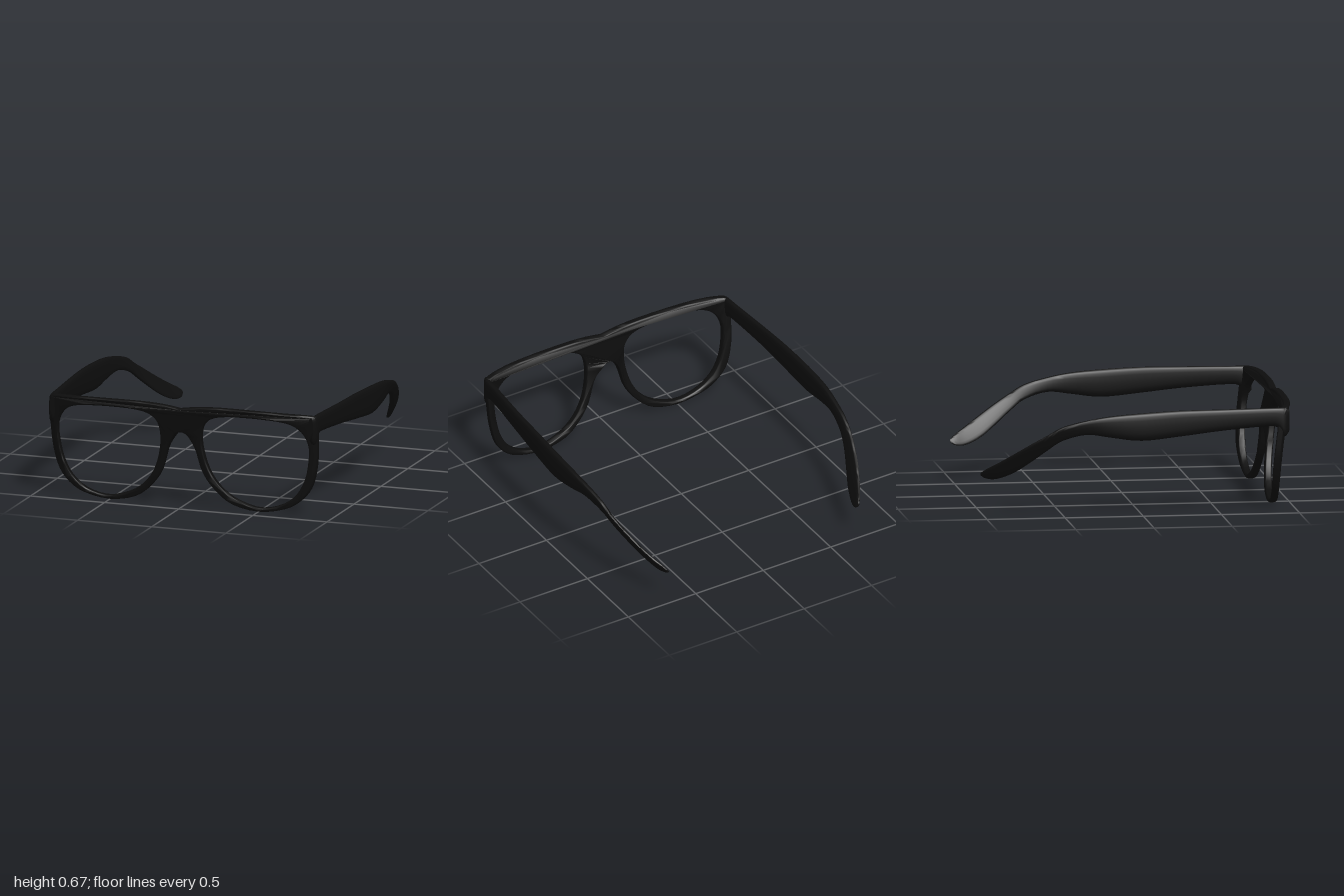
import * as THREE from 'three';
import { mergeVertices, toCreasedNormals } from 'three/addons/utils/BufferGeometryUtils.js';

const black = new THREE.MeshStandardMaterial({ color: 0x0d0d0d });
const v2 = (pts) => pts.map(([x, y]) => new THREE.Vector2(x, y));

// Half of the outer contour: nose arch, round the rim, up to the brow notch
const OUTLINE = [
  [0, 0.495], [0.025, 0.488], [0.05, 0.464], [0.093, 0.387], [0.134, 0.242], [0.21, 0.13],
  [0.325, 0.04], [0.505, 0.005], [0.686, 0.038], [0.79, 0.103], [0.856, 0.196], [0.89, 0.335],
  [0.9, 0.48], [0.903, 0.6], [0.895, 0.655], [0.85, 0.668], [0.66, 0.676], [0.3, 0.68],
  [0.12, 0.672], [0, 0.655],
];

// Lens opening
const OPENING = [
  [0.5, 0.63], [0.33, 0.627], [0.22, 0.607], [0.16, 0.56], [0.14, 0.485], [0.145, 0.387],
  [0.18, 0.26], [0.247, 0.155], [0.35, 0.077], [0.505, 0.031], [0.65, 0.06], [0.753, 0.134],
  [0.814, 0.242], [0.84, 0.36], [0.845, 0.464], [0.814, 0.545], [0.753, 0.598], [0.66, 0.621],
];

// Temple sections from hinge to tip: z, top, bottom, centre x, thickness, lean
const TEMPLE = [
  [0.95, 0.655, 0.51, 0.872, 0.03, 0], [0.92, 0.664, 0.48, 0.882, 0.042, 0],
  [0.88, 0.665, 0.535, 0.886, 0.042, 0], [0.8, 0.665, 0.548, 0.89, 0.042, 0],
  [0.5, 0.665, 0.527, 0.912, 0.042, 0], [0.25, 0.665, 0.5, 0.924, 0.045, 0],
  [0, 0.654, 0.478, 0.931, 0.05, 0], [-0.2, 0.638, 0.502, 0.928, 0.046, 0.02],
  [-0.35, 0.612, 0.52, 0.914, 0.04, 0.1], [-0.5, 0.572, 0.48, 0.892, 0.034, 0.25],
  [-0.6, 0.516, 0.41, 0.869, 0.03, 0.38], [-0.7, 0.457, 0.33, 0.831, 0.029, 0.45],
  [-0.8, 0.393, 0.26, 0.788, 0.029, 0.5], [-0.9, 0.328, 0.22, 0.745, 0.028, 0.5],
  [-0.965, 0.288, 0.222, 0.717, 0.022, 0.5], [-1, 0.26, 0.242, 0.706, 0.01, 0.5],
];

function frontFrame() {
  const depth = 0.045, bevel = 0.01;
  const shape = new THREE.Shape();
  shape.moveTo(...OUTLINE[0]);
  shape.splineThru(v2(OUTLINE.slice(1)));
  shape.splineThru(v2(OUTLINE.slice(0, -1).reverse().map(([x, y]) => [-x, y])));
  for (const s of [1, -1]) {
    const hole = new THREE.Path();
    const pts = v2([...OPENING, OPENING[0]].map(([x, y]) => [s * x, y]));
    hole.moveTo(pts[0].x, pts[0].y);
    hole.splineThru(pts.slice(1));
    shape.holes.push(hole);
  }
  let geo = new THREE.ExtrudeGeometry(shape, {
    depth: depth - 2 * bevel, curveSegments: 3,
    bevelSize: bevel, bevelOffset: -bevel, bevelThickness: bevel, bevelSegments: 3,
  });
  // Lean the front, bow its ends back and thicken the nose bridge rearward
  const p = geo.attributes.position;
  for (let i = 0; i < p.count; i++) {
    const x = Math.abs(p.getX(i)), y = p.getY(i);
    const back = THREE.MathUtils.clamp((depth - bevel - p.getZ(i)) / depth, 0, 1);
    const nose = y < 0.6 ? THREE.MathUtils.clamp((0.12 - x) / 0.07, 0, 1) : 0;
    const z = p.getZ(i) + bevel - depth + 0.907 + 0.13 * y;
    p.setZ(i, z - 0.06 * (x / 0.9) ** 6 - 0.05 * nose * back);
  }
  geo.deleteAttribute('normal');
  geo.deleteAttribute('uv');
  geo = toCreasedNormals(mergeVertices(geo, 1e-5), 0.9);
  const mesh = new THREE.Mesh(geo, black);
  mesh.name = 'frontFrame';
  return mesh;
}

function temple(side) {
  const rows = 60, sides = 20;
  const spline = (f) => new THREE.CatmullRomCurve3(
    TEMPLE.map((r) => new THREE.Vector3(...f(r))), false, 'catmullrom', 0.5);
  const upper = spline(([z, top, , x]) => [x, top, z]);
  const lower = spline(([, , bottom, , thick, lean]) => [thick, bottom, lean]);
  const round = (c) => Math.sign(c) * Math.abs(c) ** 0.65;
  const pos = [], idx = [];
  const tri = (a, b, c) => (side > 0 ? idx.push(a, b, c) : idx.push(a, c, b));

  // Rounded sections, leaning inward toward the ear tip
  for (let i = 0; i <= rows; i++) {
    const u = upper.getPoint(i / rows), l = lower.getPoint(i / rows);
    for (let j = 0; j < sides; j++) {
      const a = (j / sides) * Math.PI * 2;
      const dy = round(Math.sin(a)) * (u.y - l.y) / 2;
      const x = u.x + round(Math.cos(a)) * l.x / 2 + dy * l.z;
      pos.push(side * x, (u.y + l.y) / 2 + dy, u.z);
    }
  }
  for (let i = 0; i < rows; i++) {
    for (let j = 0; j < sides; j++) {
      const a = i * sides + j, b = i * sides + (j + 1) % sides;
      tri(a, a + sides, b);
      tri(b, a + sides, b + sides);
    }
  }
  // End caps
  const last = rows * sides;
  for (let j = 1; j < sides - 1; j++) {
    tri(0, j, j + 1);
    tri(last, last + j + 1, last + j);
  }
  const geo = new THREE.BufferGeometry();
  geo.setAttribute('position', new THREE.Float32BufferAttribute(pos, 3));
  geo.setIndex(idx);
  const mesh = new THREE.Mesh(toCreasedNormals(geo, 0.9), black);
  mesh.name = side > 0 ? 'leftTemple' : 'rightTemple';
  return mesh;
}

export function createModel() {
  const group = new THREE.Group();
  group.name = 'eyeglasses';
  group.add(frontFrame(), temple(1), temple(-1));
  return group;
}
